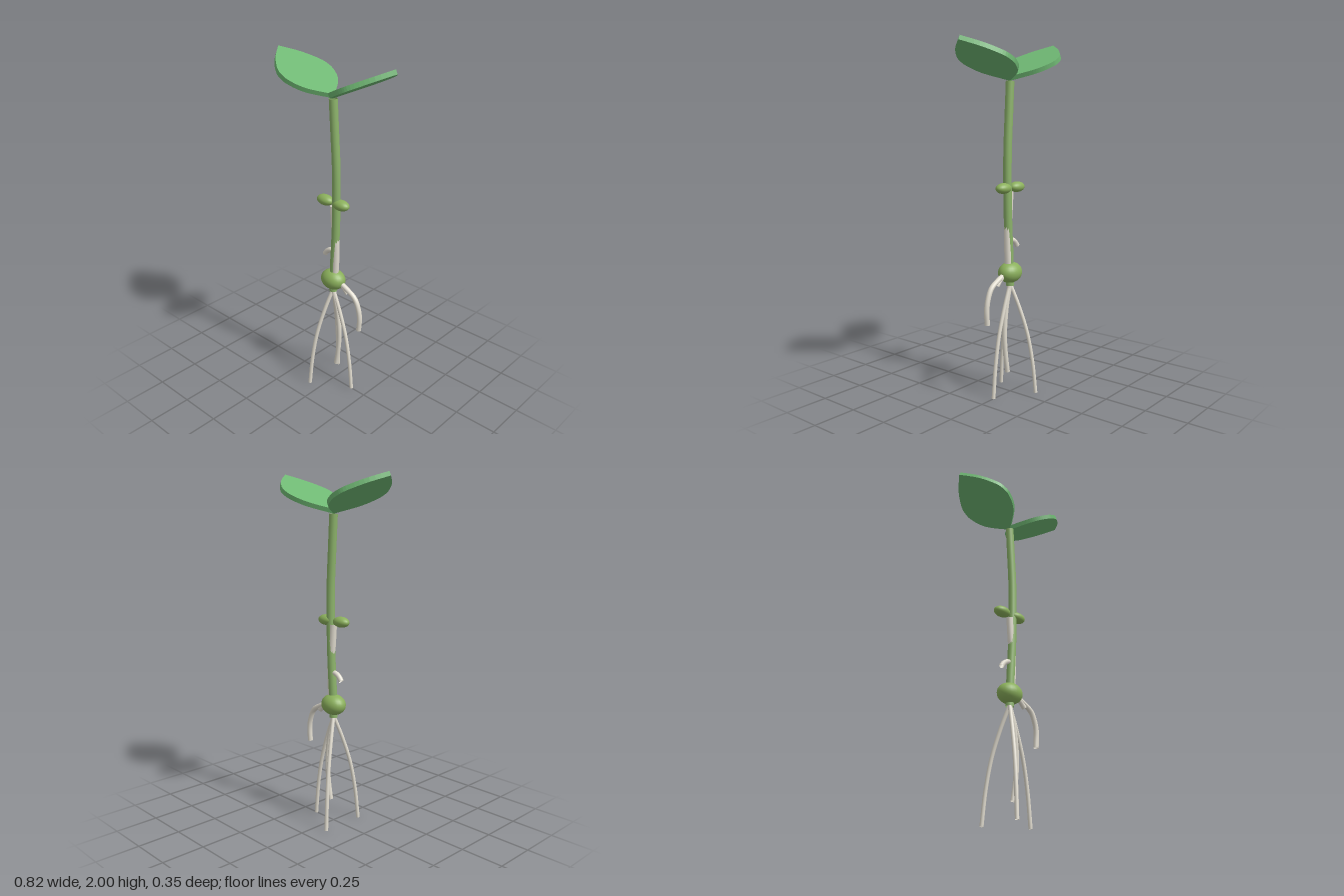
import * as THREE from 'three';

const material = (color) => new THREE.MeshStandardMaterial({ color, side: THREE.DoubleSide });

export function createModel() {
  const model = new THREE.Group();
  const leafGreen = material(0x6fb873);
  const stemGreen = material(0x8cb36a);
  const budGreen = material(0x8bb05c);
  const rootWhite = material(0xe2ddd0);

  const add = (name, geometry, mat) => {
    const mesh = new THREE.Mesh(geometry, mat);
    mesh.name = name;
    model.add(mesh);
    return mesh;
  };
  const tube = (name, points, radius, mat, sides = 10) => {
    const curve = new THREE.CatmullRomCurve3(points.map(([x, y, z = 0]) => new THREE.Vector3(x, y, z)));
    return add(name, new THREE.TubeGeometry(curve, 28, radius, sides), mat);
  };
  const ellipsoid = (name, x, y, rx, ry, rz) => {
    const mesh = add(name, new THREE.SphereGeometry(1, 24, 16), budGreen);
    mesh.position.set(x, y, 0);
    mesh.scale.set(rx, ry, rz);
  };

  // Gently bowed stem and the pale shoot lying along it
  tube('stem', [[0, 0.64], [0.006, 0.8], [0.018, 1.0], [0.023, 1.2], [0.022, 1.4], [0.011, 1.6], [0, 1.785]], 0.024, stemGreen, 12);
  tube('paleShoot', [[0.012, 0.72], [0.02, 0.85], [0.021, 0.96], [0.012, 1.05], [0.002, 1.18]], 0.021, rootWhite);

  // Seed bulb and the pair of buds
  ellipsoid('seedBulb', 0, 0.716, 0.078, 0.06, 0.063);
  ellipsoid('leftBud', 0.057, 1.2, 0.055, 0.03, 0.036);
  ellipsoid('rightBud', -0.06, 1.2, 0.055, 0.03, 0.036);

  // Three splayed roots around the axis
  for (let i = 0; i < 3; i++) {
    const a = (i * Math.PI * 2) / 3;
    const path = [[0, 0.65], [0.054, 0.51], [0.1, 0.36], [0.131, 0.19], [0.15, 0.005]];
    tube('splayedRoot', path.map(([r, y]) => [r * Math.cos(a), y, r * Math.sin(a)]), 0.011, rootWhite);
  }

  // Tap root and side roots
  tube('tapRoot', [[0, 0.65], [0.035, 0.51], [0.05, 0.36], [0.042, 0.24], [0.024, 0.13]], 0.014, rootWhite);
  tube('curledRoot', [[0.05, 0.712], [0.11, 0.685], [0.165, 0.65], [0.195, 0.59], [0.205, 0.53], [0.2, 0.45]], 0.015, rootWhite);
  tube('rootStub', [[0.05, 0.71], [0.085, 0.687], [0.112, 0.66]], 0.014, rootWhite);
  tube('sideRoot', [[0.015, 0.905], [-0.02, 0.9], [-0.045, 0.885], [-0.063, 0.862]], 0.015, rootWhite);

  // Two flat pointed leaves, mirrored and tilted upwards
  const half = [[0.075, 0.1], [0.125, 0.143], [0.18, 0.167], [0.22, 0.172], [0.28, 0.157], [0.37, 0.092], [0.452, 0]];
  const shape = new THREE.Shape();
  shape.moveTo(0, 0);
  shape.splineThru(half.map(([u, v]) => new THREE.Vector2(u, v)));
  const back = half.slice(0, -1).reverse().map(([u, v]) => new THREE.Vector2(u, -v));
  shape.splineThru([...back, new THREE.Vector2(0, 0)]);
  for (const side of [1, -1]) {
    const geometry = new THREE.ExtrudeGeometry(shape, { depth: 0.025, bevelEnabled: false, curveSegments: 4 });
    geometry.rotateX(-Math.PI / 2);
    geometry.rotateZ(THREE.MathUtils.degToRad(25));
    if (side < 0) geometry.rotateY(Math.PI);
    const leaf = add(side > 0 ? 'leftLeaf' : 'rightLeaf', geometry, leafGreen);
    leaf.position.y = 1.786;
  }
  return model;
}
